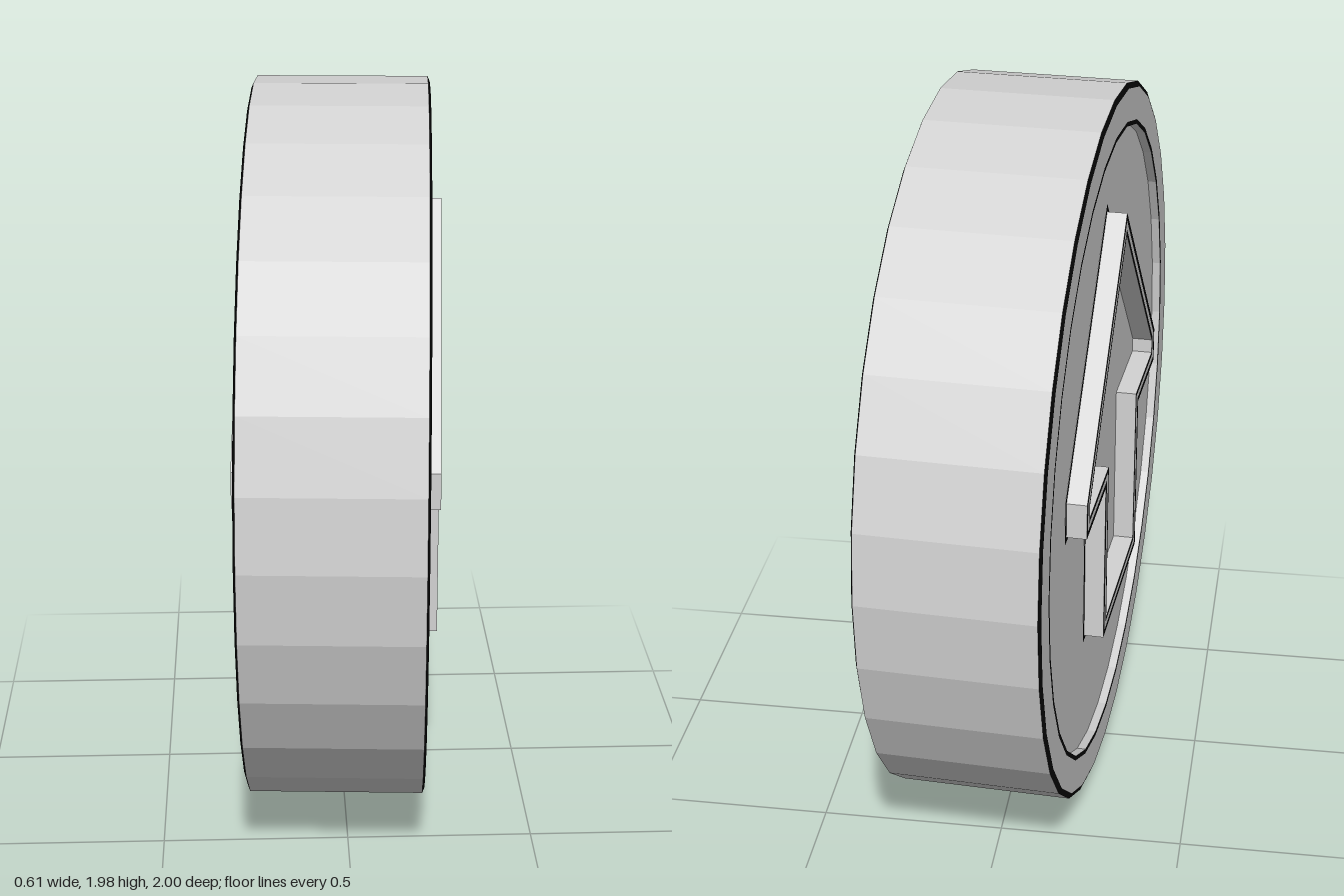
import * as THREE from 'three';

const RADIUS = 0.988, HALF = 0.237, FLOOR = 0.213, TOP = 0.27, SIDES = 32;

const circle = (r) => Array.from({ length: SIDES }, (_, i) => {
  const a = (i / SIDES) * Math.PI * 2;
  return new THREE.Vector2(Math.cos(a) * r, Math.sin(a) * r);
});

// Shrinks a counter-clockwise outline by d with mitred corners
function inset(points, d) {
  const n = points.length;
  const normal = (a, b) => new THREE.Vector2(a.y - b.y, b.x - a.x).normalize();
  return points.map((p, i) => {
    const n1 = normal(points[(i + n - 1) % n], p);
    const n2 = normal(p, points[(i + 1) % n]);
    return p.clone().addScaledVector(n1.clone().add(n2), d / (1 + n1.dot(n2)));
  });
}

// Flat-faced band from outline a at height za to outline b at height zb
function band(a, za, b, zb) {
  const pos = [];
  a.forEach((p, i) => {
    const j = (i + 1) % a.length;
    const q = a[j], r = b[j], s = b[i];
    pos.push(p.x, p.y, za, q.x, q.y, za, r.x, r.y, zb);
    pos.push(p.x, p.y, za, r.x, r.y, zb, s.x, s.y, zb);
  });
  const geo = new THREE.BufferGeometry();
  geo.setAttribute('position', new THREE.Float32BufferAttribute(pos, 3));
  geo.computeVertexNormals();
  return geo;
}

export function createModel() {
  const silver = new THREE.MeshStandardMaterial({ color: 0xd2d2d2 });
  silver.name = 'silver';
  const black = new THREE.MeshStandardMaterial({ color: 0x050505 });
  black.name = 'black outline';

  const add = (parent, name, geo, mat) => {
    const mesh = new THREE.Mesh(geo, mat);
    mesh.name = name;
    parent.add(mesh);
  };

  // Arrow outline, counter-clockwise from the tip
  const half = [[-0.56, 0.1], [-0.56, -0.02], [-0.28, -0.02], [-0.28, -0.49]];
  const arrow = [[0, 0.7], ...half, ...half.map(([x, y]) => [-x, y]).reverse()]
    .map(([x, y]) => new THREE.Vector2(x, y));

  function coinFace(name) {
    const face = new THREE.Group();
    face.name = name;

    // Raised rim with inked edges around a sunken floor
    add(face, 'rimOuterLine', band(circle(RADIUS), HALF - 0.006, circle(RADIUS - 0.015), HALF), black);
    add(face, 'rim', band(circle(RADIUS - 0.015), HALF, circle(0.884), HALF), silver);
    add(face, 'rimInnerLine', band(circle(0.884), HALF, circle(0.872), HALF), black);
    add(face, 'rimInnerWall', band(circle(0.872), HALF, circle(0.872), FLOOR), silver);
    const floor = new THREE.CircleGeometry(0.872, SIDES);
    floor.translate(0, 0, FLOOR);
    add(face, 'floor', floor, silver);

    // Raised arrow frame: inked base, wall, inked top edges, inner wall
    const o = [0, 0.015, 0.03, 0.046, 0.057].map((d) => inset(arrow, d));
    add(face, 'arrowBaseLine', band(o[0], FLOOR + 0.003, o[1], FLOOR + 0.003), black);
    add(face, 'arrowOuterWall', band(o[1], FLOOR, o[1], TOP), silver);
    add(face, 'arrowOuterLine', band(o[1], TOP, o[2], TOP), black);
    add(face, 'arrowTop', band(o[2], TOP, o[3], TOP), silver);
    add(face, 'arrowInnerLine', band(o[3], TOP, o[4], TOP), black);
    add(face, 'arrowInnerWall', band(o[4], TOP, o[4], FLOOR), silver);
    return face;
  }

  const coin = new THREE.Group();
  coin.name = 'coin';

  // Faceted edge, axis along x
  const edge = band(circle(RADIUS), -HALF + 0.006, circle(RADIUS), HALF - 0.006);
  edge.rotateY(Math.PI / 2);
  add(coin, 'edge', edge, silver);

  for (const side of [1, -1]) {
    const face = coinFace(side > 0 ? 'leftFace' : 'rightFace');
    face.rotation.y = side * Math.PI / 2;
    coin.add(face);
  }

  // Slight turn about the upright axis
  coin.rotation.y = -0.061;
  coin.position.y = RADIUS;
  const model = new THREE.Group();
  model.name = 'arrowCoin';
  model.add(coin);
  return model;
}
